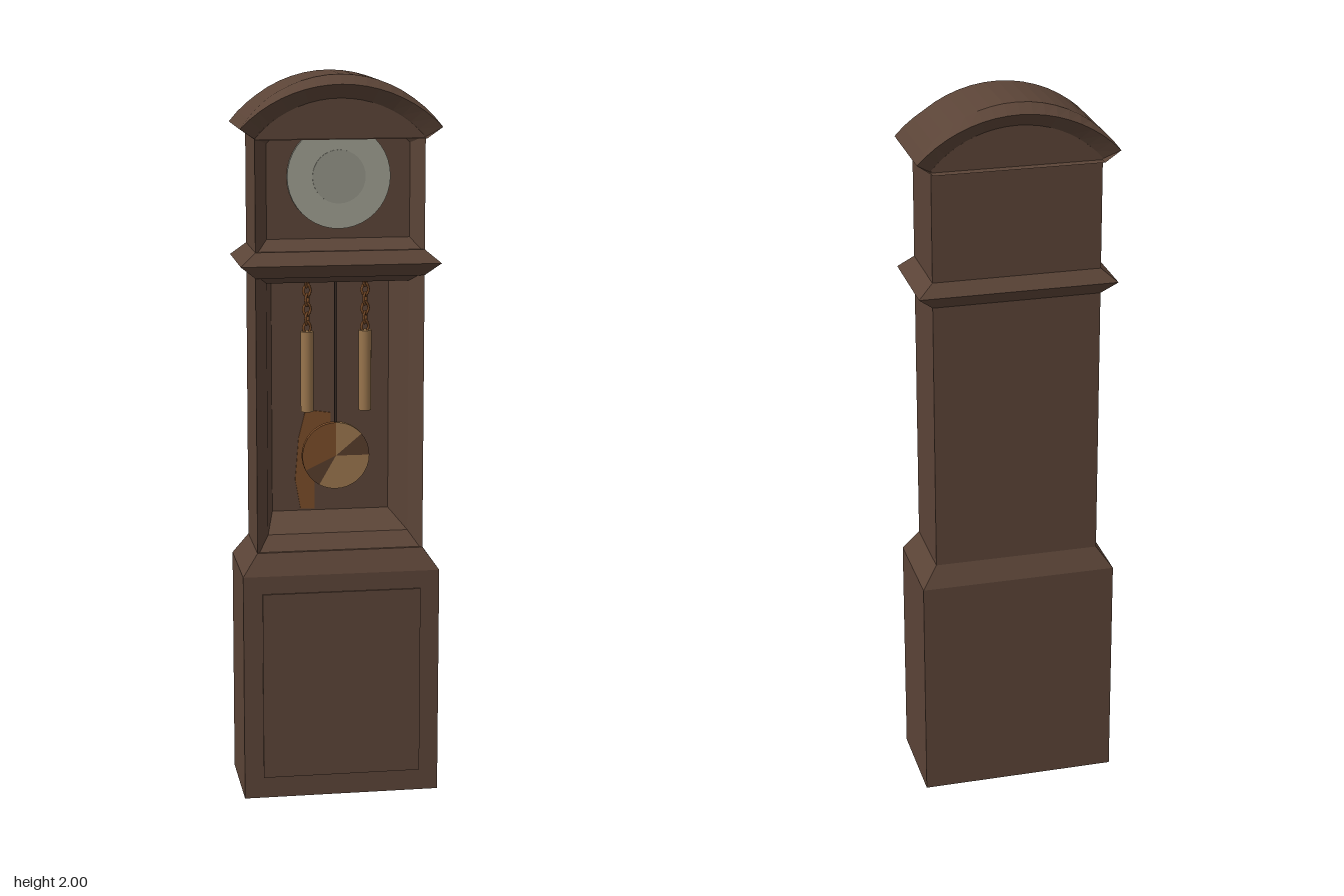
import * as THREE from 'three';

const mat = (name, color) => {
  const m = new THREE.MeshStandardMaterial({ color });
  m.name = name;
  return m;
};

// Skins a series of closed rings with flat faces; the first and last rings are capped
function loft(rings) {
  const pos = [];
  const tri = (a, b, c) => pos.push(...a, ...b, ...c);
  const n = rings[0].length;
  for (let i = 0; i < rings.length - 1; i++) {
    for (let j = 0; j < n; j++) {
      const k = (j + 1) % n;
      tri(rings[i][j], rings[i][k], rings[i + 1][k]);
      tri(rings[i][j], rings[i + 1][k], rings[i + 1][j]);
    }
  }
  const first = rings[0], last = rings[rings.length - 1];
  for (let j = 1; j < n - 1; j++) {
    tri(first[0], first[j + 1], first[j]);
    tri(last[0], last[j], last[j + 1]);
  }
  const g = new THREE.BufferGeometry();
  g.setAttribute('position', new THREE.Float32BufferAttribute(pos, 3));
  g.computeVertexNormals();
  return g;
}

// Horizontal rectangle at height y
const rect = (w, d, y) => [[w, y, d], [w, y, -d], [-w, y, -d], [-w, y, d]];
// Upright rectangle at depth z
const frame = (w, y0, y1, z) => [[-w, y0, z], [w, y0, z], [w, y1, z], [-w, y1, z]];

// Circular arch from right to left, rising by h over half-width w
function arch(w, y, h, z, n = 18) {
  const r = (w * w + h * h) / (2 * h);
  const a = Math.asin(w / r);
  return Array.from({ length: n + 1 }, (_, i) => {
    const t = a - (2 * a * i) / n;
    return [r * Math.sin(t), y + h - r + r * Math.cos(t), z];
  });
}

export function createModel() {
  const wood = mat('wood', 0x5b4437);
  const dialSilver = mat('dialSilver', 0x9d9d90);
  const dialCentre = mat('dialCentre', 0x929286);
  const brass = mat('brass', 0x99754d);
  const copper = mat('copper', 0x784b28);
  const darkBrass = mat('darkBrass', 0x573c2b);
  const iron = mat('iron', 0x3a2c25);

  const model = new THREE.Group();
  const add = (name, geometry, material, x = 0, y = 0, z = 0) => {
    const m = new THREE.Mesh(geometry, material);
    m.name = name;
    m.position.set(x, y, z);
    model.add(m);
    return m;
  };

  // Plinth with sloping shoulder and raised front panel
  add('base', loft([rect(0.273, 0.136, 0), rect(0.273, 0.136, 0.64), rect(0.23, 0.11, 0.7)]), wood);
  add('basePanel', new THREE.BoxGeometry(0.44, 0.53, 0.008), wood, 0, 0.325, 0.137);

  // Trunk with an open, tapering pendulum case
  add('trunk', loft([
    frame(0.23, 0.69, 1.47, -0.11), frame(0.23, 0.69, 1.47, 0.11),
    frame(0.195, 0.74, 1.44, 0.066), frame(0.165, 0.77, 1.44, -0.08),
  ]), wood);

  // Moulding between trunk and hood
  add('waistMoulding', loft([
    rect(0.23, 0.11, 1.46), rect(0.272, 0.136, 1.495), rect(0.23, 0.11, 1.53),
  ]), wood);

  // Arched hood with sunken face
  const hoodRing = (w, y0, y1, h, z) => [[-w, y0, z], [w, y0, z], ...arch(w, y1, h, z)];
  add('hood', loft([
    hoodRing(0.23, 1.52, 1.835, 0.105, -0.11), hoodRing(0.23, 1.52, 1.835, 0.105, 0.11),
    hoodRing(0.195, 1.56, 1.815, 0.085, 0.07),
  ]), wood);

  // Overhanging arched cornice, bevelled towards its crown
  const corniceRing = (w, y, h, z, inset = 0) => {
    const pts = arch(w, y, h, z);
    for (const p of pts) p[2] -= Math.sign(z) * inset * Math.min(1, (1 - Math.abs(p[0]) / w) * 4);
    return [...pts, [-0.229, 1.83, z], [0.229, 1.83, z]];
  };
  const half = [
    [0.272, 1.86, 0.14, 0.136, 0.031],
    [0.272, 1.86, 0.115, 0.136, 0],
    [0.23, 1.832, 0.105, 0.108, 0],
  ];
  const frontRings = half.map((p) => corniceRing(...p));
  const backRings = half.map(([w, y, h, z, i]) => corniceRing(w, y, h, -z, i)).reverse();
  const cornice = loft([...backRings, ...frontRings]);
  // Drop the end caps, which would lie across the arch opening
  cornice.setDrawRange(0, 5 * 21 * 6);
  add('cornice', cornice, wood);

  // Dial
  const disc = (r, depth, n, start = 0, sweep = Math.PI * 2) =>
    new THREE.CylinderGeometry(r, r, depth, n, 1, false, start, sweep).rotateX(Math.PI / 2);
  add('dial', disc(0.14, 0.012, 40), dialSilver, 0, 1.727, 0.076);
  add('dialCentre', disc(0.072, 0.004, 32), dialCentre, 0, 1.727, 0.083);
  add('hand', new THREE.BoxGeometry(0.004, 0.03, 0.003), iron, 0.008, 1.85, 0.083);

  // Weights hanging on chains of alternating links
  for (const x of [-0.072, 0.09]) {
    add('weight', new THREE.CylinderGeometry(0.018, 0.018, 0.225, 16), brass, x, 1.178, -0.03);
    for (let i = 0; i < 6; i++) {
      const link = add('chainLink', new THREE.TorusGeometry(0.011, 0.004, 5, 10), copper, x, 1.3 + i * 0.026, -0.03);
      link.scale.y = 1.4;
      link.rotation.y = i % 2 ? 1.1 : 0.3;
    }
  }

  // Pendulum rod and bob, the bob face in wedge-shaped colours
  add('pendulumRod', new THREE.BoxGeometry(0.007, 0.44, 0.007), iron, 0.003, 1.23, 0);
  const wedges = [
    [0, 40, darkBrass], [40, 90, brass], [90, 205, copper], [205, 240, darkBrass], [240, 360, brass],
  ];
  const rad = Math.PI / 180;
  for (const [a, b, m] of wedges) {
    add('pendulumBob', disc(0.094, 0.018, Math.ceil((b - a) / 10), (a + 90) * rad, (b - a) * rad),
      m, 0.003, 0.945, 0);
  }

  // Copper patch painted on the back of the case
  const patch = new THREE.Shape([
    [-0.07, 1.06], [-0.09, 0.98], [-0.1, 0.86], [-0.085, 0.775], [-0.045, 0.775],
    [-0.045, 0.85], [0, 0.93], [0, 1.05],
  ].map(([x, y]) => new THREE.Vector2(x, y)));
  add('backPatch', new THREE.ExtrudeGeometry(patch, { depth: 0.004, bevelEnabled: false }), copper, 0, 0, -0.08);

  // The whole clock stands turned very slightly
  model.rotation.y = -0.022;
  const root = new THREE.Group();
  root.name = 'longcaseClock';
  root.add(model);
  return root;
}
